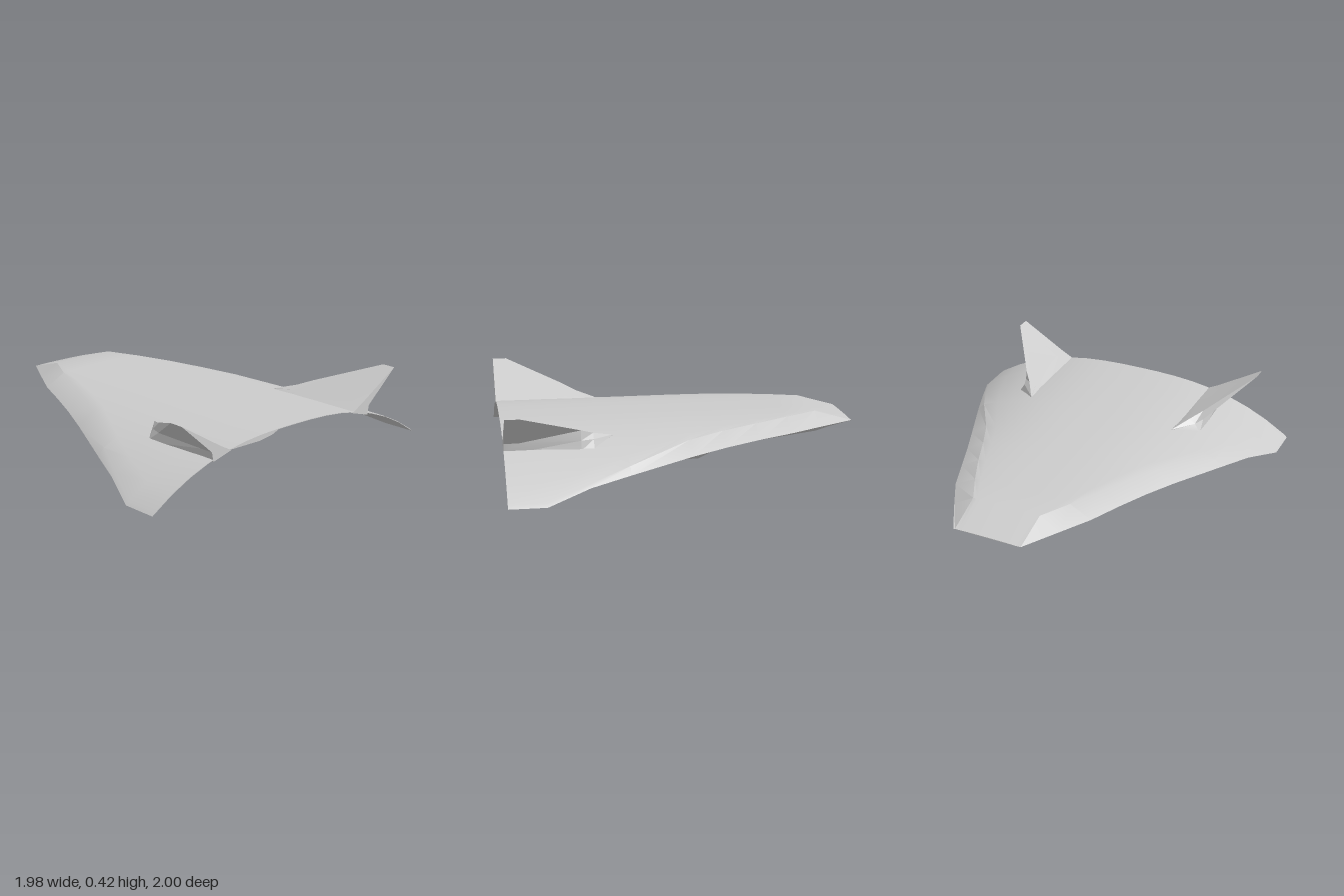
import * as THREE from 'three';
import { toCreasedNormals } from 'three/addons/utils/BufferGeometryUtils.js';

const material = new THREE.MeshStandardMaterial({ color: 0xcccccc });

// Skin a list of rings { z, pts } (pts run counter-clockwise seen from +z) and cap both ends
function loft(name, rings, crease = 0.45) {
  const pos = [], index = [], n = rings[0].pts.length;
  for (const { z, pts } of rings) for (const [x, y] of pts) pos.push(x, y, z);
  for (let i = 0; i < rings.length - 1; i++) {
    for (let j = 0; j < n; j++) {
      const k = (j + 1) % n;
      const a = i * n + j, b = i * n + k, c = a + n, d = b + n;
      index.push(a, b, c, b, d, c);
    }
  }
  const cap = (r, flip) => {
    const base = r * n;
    const contour = rings[r].pts.map(([x, y]) => new THREE.Vector2(x, y));
    for (const [a, b, c] of THREE.ShapeUtils.triangulateShape(contour, [])) {
      index.push(base + a, base + (flip ? c : b), base + (flip ? b : c));
    }
  };
  cap(0, true);
  cap(rings.length - 1, false);
  const geometry = new THREE.BufferGeometry();
  geometry.setAttribute('position', new THREE.Float32BufferAttribute(pos, 3));
  geometry.setIndex(index);
  const mesh = new THREE.Mesh(toCreasedNormals(geometry, crease), material);
  mesh.name = name;
  return mesh;
}

// Arched cross-section shared by the whole upper skin
const arch = (x) => 0.265 - 0.262 * Math.abs(x) ** 2.7;

function createHull() {
  // z, edge x, edge y, bevel x, drop of the upper skin, belly y, belly curve power
  const stations = [
    [-1.0, 0.20, 0.198, 0.19, 0.065, 0.196, 3],
    [-0.78, 0.32, 0.195, 0.20, 0, 0.125, 3],
    [-0.6, 0.415, 0.19, 0.29, 0, 0.125, 3],
    [-0.4, 0.49, 0.18, 0.38, 0, 0.125, 3],
    [-0.2, 0.567, 0.165, 0.46, 0, 0.13, 3],
    [0.0, 0.65, 0.145, 0.55, 0, 0.135, 3],
    [0.35, 0.80, 0.10, 0.76, 0, 0.142, 3],
    [0.57, 0.89, 0.068, 0.87, 0, 0.15, 4],
    [0.8, 0.99, 0.006, 0.97, 0, 0.207, 3],
    [1.0, 0.99, 0.006, 0.97, 0, 0.262, 2.7],
  ];
  const steps = 8;
  const rings = stations.map(([z, ex, ey, bx, drop, belly, power]) => {
    const pts = [];
    // Belly from -x to +x, including both edges
    for (let i = -steps; i <= steps; i++) {
      const s = i / steps;
      pts.push([s * ex, belly + (ey - belly) * Math.abs(s) ** power]);
    }
    // Upper skin back from +x to -x
    for (let i = steps; i >= -steps; i--) {
      const x = (i / steps) * bx;
      pts.push([x, arch(x) - drop]);
    }
    return { z, pts };
  });
  return loft('hull', rings);
}

function createBellyPod() {
  // z, half width at the top, bottom y
  const stations = [
    [-0.35, 0.23, 0.125],
    [-0.1, 0.41, 0.012],
    [0.15, 0.50, 0.012],
    [0.35, 0.53, 0.012],
    [0.555, 0.53, 0.012],
  ];
  const top = 0.15;
  const rings = stations.map(([z, w, bottom]) => {
    const rim = 0.137, at = (f) => bottom + (rim - bottom) * f;
    const side = [
      [0.2, bottom],
      [0.2 + (w - 0.2) * 0.3, at(0.12)],
      [0.2 + (w - 0.2) * 0.66, at(0.5)],
      [w, rim],
      [w - 0.01, top],
    ];
    const other = side.map(([x, y]) => [-x, y]).reverse();
    return { z, pts: [...side, ...other] };
  });
  return loft('bellyPod', rings, 0.5);
}

function createFin(name, sign) {
  // Each ring: inner foot, inner flare, blade tip, outer notch, outer foot
  const sections = [
    [0.41, [[0.458, 0.232], [0.46, 0.236], [0.462, 0.236], [0.463, 0.234], [0.462, 0.23]]],
    [0.52, [[0.46, 0.225], [0.49, 0.247], [0.53, 0.268], [0.565, 0.242], [0.598, 0.19]]],
    [0.59, [[0.46, 0.225], [0.52, 0.262], [0.585, 0.298], [0.59, 0.243], [0.598, 0.19]]],
    [0.92, [[0.46, 0.225], [0.535, 0.264], [0.8, 0.422], [0.595, 0.243], [0.585, 0.19]]],
    [1.0, [[0.46, 0.225], [0.535, 0.264], [0.8, 0.422], [0.595, 0.243], [0.585, 0.19]]],
  ];
  const rings = sections.map(([z, pts]) => {
    const placed = pts.map(([x, y]) => [sign * x, y]);
    return { z, pts: sign > 0 ? placed.reverse() : placed };
  });
  return loft(name, rings, 0.3);
}

export function createModel() {
  const model = new THREE.Group();
  model.name = 'spaceplane';
  model.add(createHull(), createBellyPod(), createFin('leftFin', 1), createFin('rightFin', -1));
  return model;
}
